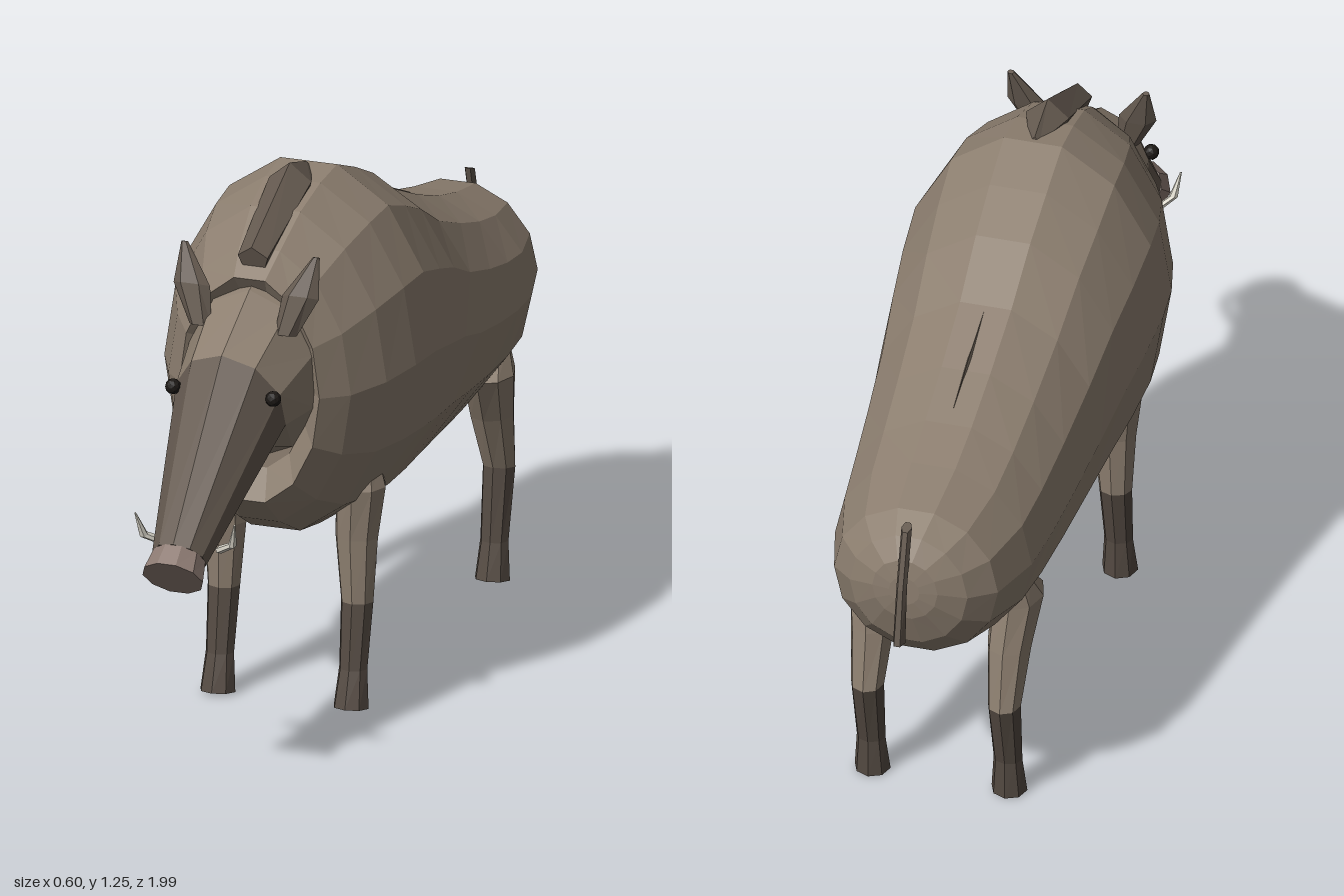
import * as THREE from 'three';

const HIDE = 0x8d7f70, DARK = 0x655a50, HOOF = 0x544a42;

// Ring: centre, half-height vector in the yz plane (uy, uz), half width in x
const ring = (x, y, z, uy, uz, w) => ({ c: new THREE.Vector3(x, y, z), u: new THREE.Vector3(0, uy, uz), w });

// Ring of the body or head given by its top and bottom points in the yz plane
const span = (tz, ty, bz, by, w) =>
  ring(0, (ty + by) / 2, (tz + bz) / 2, (ty - by) / 2, (tz - bz) / 2, w);

// Faceted skin through elliptical rings, closed by a fan at each end
function loft(name, rings, sides, color, phase = 0) {
  const pts = rings.map(({ c, u, w }) => Array.from({ length: sides }, (_, i) => {
    const a = phase + (i / sides) * Math.PI * 2;
    return c.clone().addScaledVector(u, Math.sin(a)).add(new THREE.Vector3(Math.cos(a) * w, 0, 0));
  }));
  const last = rings.length - 1;
  const normal = new THREE.Vector3(1, 0, 0).cross(rings[0].u);
  const flip = normal.dot(rings[last].c.clone().sub(rings[0].c)) < 0;
  const pos = [];
  const tri = (a, b, c) => (flip ? [a, c, b] : [a, b, c]).forEach(p => pos.push(p.x, p.y, p.z));
  for (let i = 0; i < sides; i++) {
    const j = (i + 1) % sides;
    for (let k = 0; k < last; k++) {
      tri(pts[k][i], pts[k][j], pts[k + 1][j]);
      tri(pts[k][i], pts[k + 1][j], pts[k + 1][i]);
    }
    tri(rings[0].c, pts[0][j], pts[0][i]);
    tri(rings[last].c, pts[last][i], pts[last][j]);
  }
  const geo = new THREE.BufferGeometry();
  geo.setAttribute('position', new THREE.Float32BufferAttribute(pos, 3));
  geo.computeVertexNormals();
  const mesh = new THREE.Mesh(geo, new THREE.MeshStandardMaterial({ color, flatShading: true }));
  mesh.name = name;
  return mesh;
}

export function createModel() {
  const model = new THREE.Group();
  model.name = 'boar';
  const up = Math.PI / 2;

  // Barrel body: z, top, bottom, half width (first ring is the recessed neck opening)
  const body = [
    [0.44, 1.02, 0.62, 0.13], [0.475, 1.07, 0.55, 0.165], [0.41, 1.12, 0.485, 0.215],
    [0.31, 1.18, 0.432, 0.262], [0.2, 1.212, 0.414, 0.29], [0.1, 1.222, 0.405, 0.3],
    [-0.02, 1.175, 0.405, 0.293], [-0.14, 1.12, 0.408, 0.28], [-0.28, 1.035, 0.411, 0.264],
    [-0.44, 0.967, 0.415, 0.25], [-0.58, 0.917, 0.424, 0.238], [-0.7, 0.885, 0.442, 0.226],
    [-0.84, 0.857, 0.49, 0.188], [-0.9, 0.825, 0.55, 0.135], [-0.93, 0.78, 0.63, 0.075],
    [-0.936, 0.74, 0.67, 0.035],
  ].map(([z, t, b, w]) => {
    const r = span(z, t, z, b, w);
    r.u.multiplyScalar(1.025); // the ring has a flat top facet
    return r;
  });
  model.add(loft('body', body, 14, HIDE));

  // Head, muzzle and snout share their joining rings
  const brow = span(0.65, 0.95, 0.53, 0.685, 0.128);
  const nose = span(0.955, 0.61, 0.88, 0.52, 0.062);
  model.add(loft('head', [span(0.42, 1.06, 0.38, 0.62, 0.16), span(0.475, 1.045, 0.44, 0.64, 0.152), brow], 10, HIDE, up));
  model.add(loft('muzzle', [brow, nose], 10, DARK, up));
  model.add(loft('snout', [nose, span(1.0, 0.58, 0.917, 0.483, 0.071)], 10, 0x8c7a72));

  // Mane tuft over the shoulders and the thin ridge of hair on the back
  model.add(loft('mane', [
    span(0.462, 1.14, 0.44, 1.07, 0.037), span(0.22, 1.258, 0.21, 1.14, 0.052), span(0.115, 1.226, 0.11, 1.19, 0.012),
  ], 5, DARK, up));
  model.add(loft('backRidge', [
    span(-0.28, 1.034, -0.28, 1.0, 0.002), span(-0.41, 0.988, -0.41, 0.94, 0.011), span(-0.54, 0.932, -0.54, 0.9, 0.002),
  ], 4, DARK, up));

  // Tail
  model.add(loft('tail', [
    ring(0, 0.862, -0.915, 0.005, 0.016, 0.012), ring(0, 0.73, -0.955, 0.003, 0.015, 0.012),
    ring(0, 0.595, -0.975, 0, 0.023, 0.014),
  ], 6, DARK));

  for (const [side, s] of [['left', 1], ['right', -1]]) {
    // Legs: x, y, z, half depth, half width; the lower leg starts at the knee
    const leg = (name, rows, knee) => {
      const rings = rows.map(([x, y, z, d, w]) => ring(s * x, y, z, d === rows.at(-1)[3] ? 0.005 : 0, d, w));
      const group = new THREE.Group();
      group.name = side + name;
      group.add(loft('upperLeg', rings.slice(0, knee + 1), 8, HIDE));
      group.add(loft('lowerLeg', rings.slice(knee), 8, HOOF));
      model.add(group);
    };
    leg('FrontLeg', [
      [0.165, 0.57, 0.2, 0.045, 0.04], [0.163, 0.52, 0.207, 0.06, 0.058], [0.155, 0.4, 0.213, 0.043, 0.05],
      [0.157, 0.25, 0.215, 0.034, 0.038], [0.157, 0.1, 0.24, 0.028, 0.033], [0.157, 0.012, 0.253, 0.041, 0.041],
    ], 3);
    leg('HindLeg', [
      [0.165, 0.575, -0.625, 0.04, 0.035], [0.165, 0.51, -0.595, 0.078, 0.058], [0.157, 0.4, -0.637, 0.058, 0.05],
      [0.157, 0.265, -0.68, 0.039, 0.038], [0.157, 0.1, -0.65, 0.028, 0.033], [0.157, 0.012, -0.638, 0.039, 0.041],
    ], 3);

    // Ear: narrow base, broad middle, pointed tip
    model.add(loft(side + 'Ear', [
      ring(s * 0.1, 0.965, 0.515, 0.004, 0.018, 0.026), ring(s * 0.128, 1.05, 0.495, 0.008, 0.018, 0.043),
      ring(s * 0.155, 1.138, 0.467, 0.002, 0.006, 0.008),
    ], 6, DARK));

    // Eye
    const eye = new THREE.Mesh(
      new THREE.IcosahedronGeometry(0.018, 1),
      new THREE.MeshStandardMaterial({ color: 0x1c1815, flatShading: true }));
    eye.position.set(s * 0.118, 0.86, 0.64);
    eye.name = side + 'Eye';
    model.add(eye);

    // Tusk curving out and up from the jaw
    model.add(loft(side + 'Tusk', [
      ring(s * 0.06, 0.56, 0.82, 0.007, -0.008, 0.011), ring(s * 0.105, 0.59, 0.862, 0.005, -0.009, 0.01),
      ring(s * 0.117, 0.645, 0.882, 0.001, -0.002, 0.002),
    ], 6, 0xd8d4c8));
  }
  return model;
}
